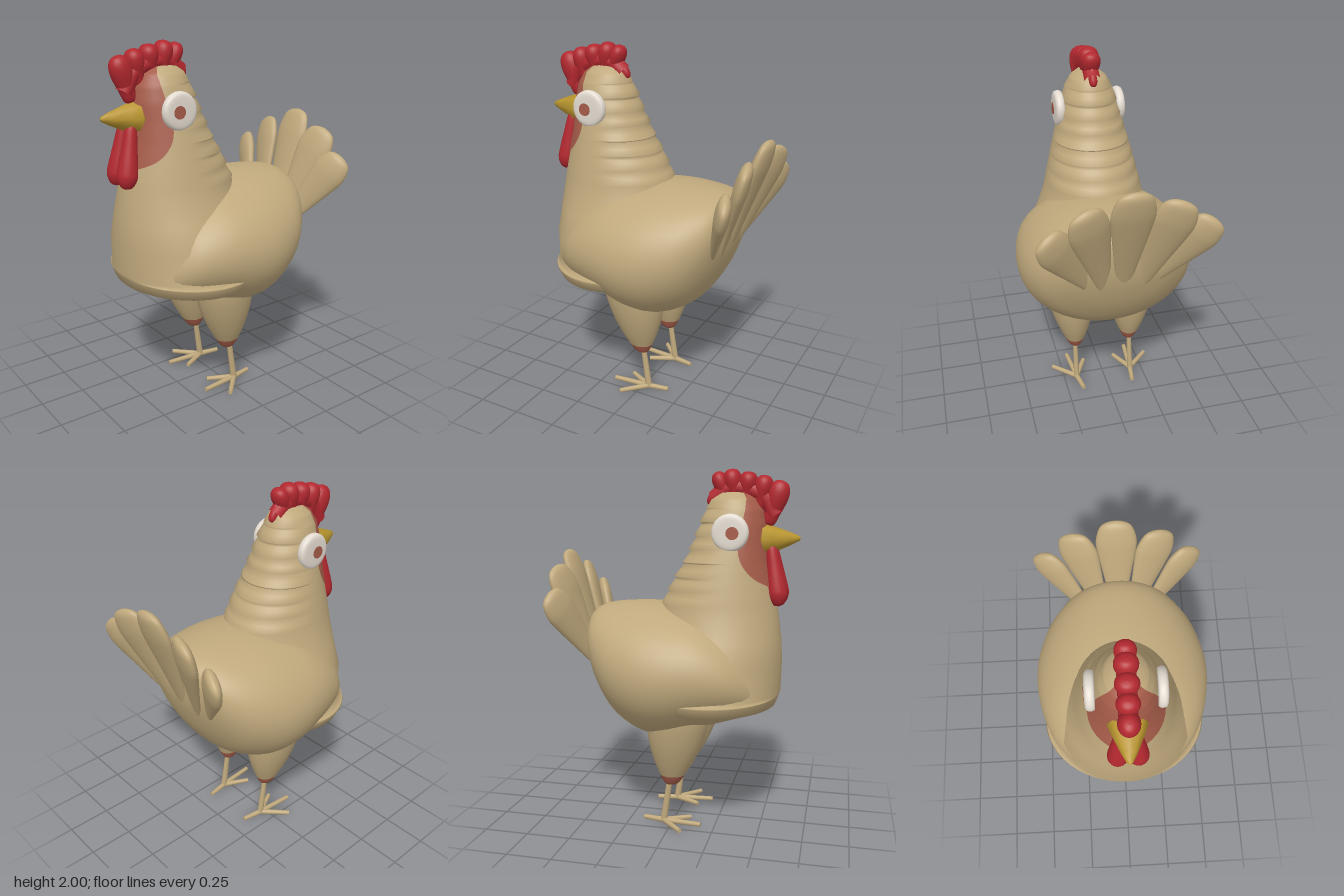
import * as THREE from 'three';
import { mergeVertices } from 'three/addons/utils/BufferGeometryUtils.js';

const mat = (name, color) => new THREE.MeshStandardMaterial({ name, color });
const V = (x, y, z) => new THREE.Vector3(x, y, z);

// Surface through equal-length rows of points
function skin(rows) {
  const n = rows[0].length, pos = [], index = [];
  rows.forEach(r => r.forEach(p => pos.push(p.x, p.y, p.z)));
  for (let i = 0; i < rows.length - 1; i++) {
    for (let j = 0; j < n - 1; j++) {
      const a = i * n + j, c = a + n;
      index.push(a, a + 1, c + 1, a, c + 1, c);
    }
  }
  let g = new THREE.BufferGeometry();
  g.setAttribute('position', new THREE.Float32BufferAttribute(pos, 3));
  g.setIndex(index);
  g = mergeVertices(g, 1e-5);
  g.computeVertexNormals();
  return g;
}

// Smooth interpolation through rows of numbers
function smooth(rows, steps) {
  const col = (k, t) => {
    const f = t * (rows.length - 1), i = Math.min(Math.floor(f), rows.length - 2), u = f - i;
    const p = q => rows[Math.max(0, Math.min(rows.length - 1, q))][k];
    const m0 = (p(i + 1) - p(i - 1)) / 2, m1 = (p(i + 2) - p(i)) / 2;
    return p(i) * (2 * u ** 3 - 3 * u * u + 1) + m0 * (u ** 3 - 2 * u * u + u)
      + p(i + 1) * (3 * u * u - 2 * u ** 3) + m1 * (u ** 3 - u * u);
  };
  return Array.from({ length: steps + 1 }, (_, s) => rows[0].map((_, k) => col(k, s / steps)));
}

// Round profile of [radius, height] pairs
const lathe = (pts, seg = 24, steps = 24) => new THREE.LatheGeometry(
  smooth(pts, steps).map(([r, y]) => new THREE.Vector2(Math.max(r, 0), y)), seg);

// Neck and chest: y, front z, back z, half width
const NECK = [
  [0.705, 0.50, -0.10, 0.36], [0.71, 0.565, -0.17, 0.44], [0.765, 0.585, -0.19, 0.468],
  [0.77, 0.588, -0.19, 0.46], [0.78, 0.59, -0.19, 0.41], [0.95, 0.595, -0.17, 0.395],
  [1.08, 0.588, -0.14, 0.33], [1.2, 0.572, -0.11, 0.285], [1.3, 0.555, -0.07, 0.262],
  [1.4, 0.533, -0.02, 0.238], [1.5, 0.51, 0.04, 0.212], [1.6, 0.497, 0.085, 0.184],
  [1.7, 0.49, 0.125, 0.158], [1.78, 0.472, 0.155, 0.133], [1.84, 0.435, 0.19, 0.10],
  [1.872, 0.39, 0.23, 0.06], [1.883, 0.31, 0.31, 0.0]];
function neckAt(y) {
  let i = 0;
  while (i < NECK.length - 2 && NECK[i + 1][0] < y) i++;
  const a = NECK[i], b = NECK[i + 1], t = (y - a[0]) / (b[0] - a[0]);
  return a.map((v, k) => v + (b[k] - v) * t);
}
function neckPoint(y, ang, grow = 0) {
  const [, f, b, w] = neckAt(y), c = (f + b) / 2;
  // Overlapping feather ridges round the nape
  let ridge = 0;
  if (y > 1.27 && y < 1.79) {
    const s = ((y - 1.27) / 0.0743) % 1;
    ridge = 0.018 * (0.5 - s) * THREE.MathUtils.smoothstep(-Math.cos(ang), -0.1, 0.7);
  }
  const k = grow + ridge;
  return V(Math.sin(ang) * (w + k), y, c + Math.cos(ang) * ((f - b) / 2 + k));
}

export function createModel() {
  const tan = mat('tan feathers', 0xbfa87c), skinRed = mat('bare skin', 0xa55c49);
  const red = mat('comb red', 0xb2282f), yellow = mat('beak yellow', 0xb8952f);
  const white = mat('eye white', 0xe3dbd0);
  const patchMat = skinRed;
  const root = new THREE.Group();
  const add = (name, geo, m, parent = root) => {
    const mesh = new THREE.Mesh(geo, m);
    mesh.name = name;
    parent.add(mesh);
    return mesh;
  };
  // Unit-height shape stretched from a to b; wide and deep set its section
  const span = (name, geo, m, a, b, wide, deep, facing = V(0, 0, 1), parent = root) => {
    const mesh = add(name, geo, m, parent), y = b.clone().sub(a), len = y.length();
    y.normalize();
    const x = y.clone().cross(facing).normalize(), z = x.clone().cross(y);
    mesh.quaternion.setFromRotationMatrix(new THREE.Matrix4().makeBasis(x, y, z));
    mesh.position.copy(a);
    mesh.scale.set(wide, len, deep);
    return mesh;
  };

  // Body with folded wings: z, half width, bottom, top
  const body = smooth([
    [-0.50, 0, 1.13, 1.13], [-0.49, 0.14, 1.0, 1.2], [-0.46, 0.25, 0.88, 1.235], [-0.4, 0.34, 0.74, 1.258],
    [-0.3, 0.425, 0.605, 1.27], [-0.15, 0.485, 0.52, 1.275], [0, 0.5, 0.515, 1.265], [0.15, 0.48, 0.56, 1.24],
    [0.28, 0.44, 0.6, 1.18], [0.38, 0.385, 0.63, 1.1], [0.47, 0.29, 0.655, 0.98],
    [0.54, 0.16, 0.69, 0.86], [0.565, 0, 0.76, 0.76]], 60);
  add('body', skin(body.map(([z, w, lo, hi]) => Array.from({ length: 49 }, (_, j) => {
    const a = j / 48 * Math.PI * 2;
    return V(Math.cos(a) * w, (lo + hi) / 2 + Math.sin(a) * (hi - lo) / 2, z);
  }))), tan);

  // Neck, head and chest
  const ys = NECK.map(r => r[0]);
  for (let y = 1.27; y < 1.8; y += 0.0743) ys.push(y - 0.002, y + 0.002, y + 0.037);
  ys.sort((a, b) => a - b);
  const neckRows = ys.map(y => Array.from({ length: 49 }, (_, j) => neckPoint(y, j / 48 * Math.PI * 2)));
  neckRows.unshift(neckRows[0].map(() => V(0, 0.705, 0.2)));
  add('neckAndChest', skin(neckRows), tan);

  // Bare face: height and half angle of the patch
  const face = smooth([[1.36, 0.25], [1.41, 0.75], [1.48, 1.05], [1.56, 1.2], [1.64, 1.2],
    [1.72, 1.15], [1.79, 1.05], [1.84, 0.9], [1.872, 0.8]], 40);
  add('facePatch', skin(face.map(([y, half]) => Array.from({ length: 25 }, (_, j) =>
    neckPoint(y, (j / 12 - 1) * half, 0.005)))), patchMat);

  // Beak
  const beak = new THREE.LatheGeometry([[0, 0], [0.92, 0], [1, 0.06], [0.8, 0.3], [0.42, 0.72], [0.15, 0.96], [0, 1]]
    .map(p => new THREE.Vector2(...p)), 8);
  span('beak', beak, yellow, V(0, 1.622, 0.47), V(0, 1.63, 0.68), 0.1, 0.088, V(0, 1, 0));

  // Comb lobes, front to back, over a ridge on the crown
  const lobe = lathe([[0, 0], [0.5, 0.04], [0.72, 0.3], [0.95, 0.6], [0.9, 0.82], [0.55, 0.96], [0, 1]]);
  [[0.50, 1.70, 0.575, 1.935, 0.055, 0.062], [0.45, 1.78, 0.485, 1.965, 0.058, 0.052],
    [0.38, 1.82, 0.395, 1.985, 0.06, 0.052], [0.32, 1.82, 0.295, 2.0, 0.06, 0.052],
    [0.28, 1.82, 0.215, 1.985, 0.054, 0.044], [0.23, 1.92, 0.175, 1.81, 0.024, 0.026]]
    .forEach(([z0, y0, z1, y1, w, d]) => span('combLobe', lobe, red, V(0, y0, z0), V(0, y1, z1), w, d));
  const ridge = new THREE.TubeGeometry(new THREE.CatmullRomCurve3([V(0, 1.75, 0.54), V(0, 1.85, 0.48),
    V(0, 1.895, 0.37), V(0, 1.895, 0.28), V(0, 1.84, 0.2)]), 24, 0.045, 12);
  add('combRidge', ridge, red);

  const wattle = lathe([[0, 0], [0.55, 0.03], [0.97, 0.15], [0.97, 0.3], [0.75, 0.6], [0.5, 0.9], [0, 1]]);
  const feather = lathe([[0, 0], [0.25, 0.03], [0.45, 0.2], [0.7, 0.45], [0.95, 0.7], [1, 0.82], [0.8, 0.94], [0.45, 0.985], [0, 1]]);
  const eyeDisc = lathe([[0, 0], [0.8, 0], [0.97, 0.2], [1, 0.5], [0.95, 0.8], [0.78, 0.96], [0.4, 1], [0, 1]], 32);
  const thigh = lathe([[0.16, 0.75], [0.168, 0.66], [0.162, 0.58], [0.14, 0.48], [0.105, 0.38], [0.068, 0.3]].reverse());
  const knee = lathe([[0, 0.237], [0.03, 0.243], [0.05, 0.266], [0.068, 0.3]], 24, 12);
  const rod = new THREE.CylinderGeometry(0.8, 1, 1, 10).translate(0, 0.5, 0);

  span('tailFeatherCentre', feather, tan, V(0, 0.88, -0.44), V(0, 1.56, -0.66), 0.113, 0.04);
  for (const s of [1, -1]) {
    const side = s > 0 ? 'left' : 'right';
    span(side + 'Wattle', wattle, red, V(s * 0.057, 1.265, 0.575), V(s * 0.035, 1.62, 0.52), 0.055, 0.055);

    // Eye
    span(side + 'Eye', eyeDisc, white, V(s * 0.148, 1.66, 0.32), V(s * 0.2, 1.66, 0.32), 0.1, 0.1);
    span(side + 'Pupil', new THREE.CylinderGeometry(1, 1, 1, 20), skinRed,
      V(s * 0.2, 1.657, 0.335), V(s * 0.206, 1.657, 0.335), 0.034, 0.034);

    // Tail fan
    span(side + 'TailFeatherInner', feather, tan, V(s * 0.08, 0.87, -0.43), V(s * 0.245, 1.48, -0.64), 0.11, 0.04, V(s * 0.2, 0, 1));
    span(side + 'TailFeatherOuter', feather, tan, V(s * 0.14, 0.89, -0.41), V(s * 0.43, 1.345, -0.605), 0.1, 0.04, V(s * 0.3, 0, 1));

    // Leg: thigh and bare knee lean forward toward the top
    const leg = new THREE.Group();
    leg.name = side + 'Leg';
    root.add(leg);
    const lean = geo => {
      const g = geo.clone(), p = g.attributes.position;
      for (let i = 0; i < p.count; i++) {
        const t = p.getY(i) - 0.24;
        p.setXYZ(i, p.getX(i) * 0.88 + s * (0.17 + 0.04 * t), p.getY(i), p.getZ(i) * 1.06 + 0.11 * t);
      }
      g.computeVertexNormals();
      return g;
    };
    add('thigh', lean(thigh), tan, leg);
    add('knee', lean(knee), skinRed, leg);
    const ankle = V(s * 0.175, 0.018, -0.045);
    span('shin', rod, tan, ankle, V(s * 0.173, 0.27, -0.008), 0.017, 0.02, V(0, 0, 1), leg);
    [[0.1, 0.10], [0.195, 0.175], [0.305, 0.08], [0.155, -0.165]].forEach(([x, z]) =>
      span('toe', rod, tan, ankle, V(s * x, 0.018, z), 0.016, 0.016, V(0, 1, 0), leg));
  }
  return root;
}
